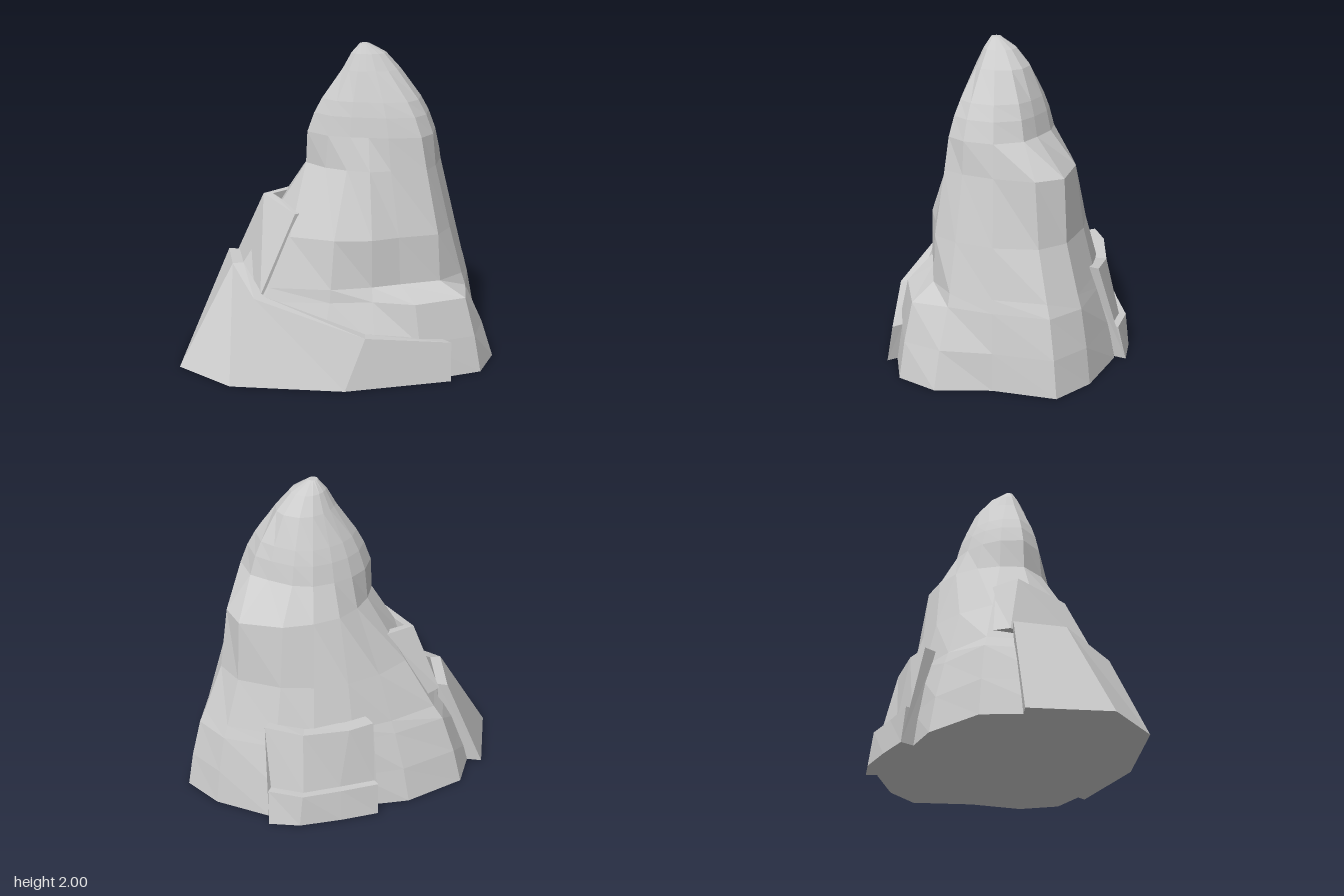
import * as THREE from 'three';

const material = new THREE.MeshStandardMaterial({ color: 0xcccccc, flatShading: true, side: THREE.DoubleSide });

// Lofts equal-length sections of [x, y, z] points; each section is a closed loop.
// The first and last sections are capped with a fan.
function loft(name, sections) {
  const out = [];
  const n = sections[0].length;
  const tri = (a, b, c) => out.push(...a, ...b, ...c);
  for (let i = 0; i < sections.length - 1; i++) {
    const s = sections[i], t = sections[i + 1];
    for (let j = 0; j < n; j++) {
      const k = (j + 1) % n;
      tri(s[j], t[j], s[k]);
      tri(s[k], t[j], t[k]);
    }
  }
  const first = sections[0], last = sections[sections.length - 1];
  for (let j = 1; j < n - 1; j++) {
    tri(first[0], first[j], first[j + 1]);
    tri(last[0], last[j + 1], last[j]);
  }
  const geometry = new THREE.BufferGeometry();
  geometry.setAttribute('position', new THREE.Float32BufferAttribute(out, 3));
  geometry.computeVertexNormals();
  const mesh = new THREE.Mesh(geometry, material);
  mesh.name = name;
  return mesh;
}

// Rib directions in degrees, from +x towards +z, around the line below the peak
const ribs = [0, 18, 45, 70, 100, 130, 160, 184, 206, 228, 250, 270, 295, 312, 336];

// Horizontal section of the rock, ordered for outward faces
function ring(y, radii) {
  return ribs.map((deg, i) => {
    const a = THREE.MathUtils.degToRad(deg);
    return [0.14 + radii[i] * Math.cos(a), y, 0.02 + radii[i] * Math.sin(a)];
  }).reverse();
}

function rockBody() {
  // Radius along each rib at the main levels
  const foot = [0.86, 0.86, 0.69, 0.66, 0.72, 0.95, 1.1, 1.06, 0.88, 0.74, 0.77, 0.83, 0.9, 0.95, 0.78];
  const shelf = [0.67, 0.74, 0.6, 0.47, 0.53, 0.78, 0.87, 0.91, 0.74, 0.67, 0.68, 0.71, 0.81, 0.84, 0.7];
  const waist = [0.56, 0.54, 0.41, 0.42, 0.46, 0.57, 0.62, 0.64, 0.59, 0.57, 0.57, 0.6, 0.67, 0.67, 0.6];
  const chest = [0.46, 0.45, 0.31, 0.29, 0.27, 0.3, 0.37, 0.37, 0.39, 0.43, 0.47, 0.54, 0.64, 0.61, 0.5];
  const neck = [0.44, 0.41, 0.28, 0.22, 0.22, 0.28, 0.36, 0.35, 0.34, 0.34, 0.36, 0.37, 0.39, 0.44, 0.46];
  const head = [0.21, 0.17, 0.13, 0.11, 0.11, 0.12, 0.14, 0.14, 0.15, 0.17, 0.2, 0.23, 0.25, 0.25, 0.23];
  const mix = (a, b, t) => a.map((r, i) => THREE.MathUtils.lerp(r, b[i], t));
  // Three ribs at the front left step in sharply above the shelf
  const aboveShelf = shelf.map((r, i) => THREE.MathUtils.lerp(r, waist[i], i > 0 && i < 4 ? 0.9 : 0.24));
  return loft('rockBody', [
    ring(0, foot),
    ring(0.23, mix(foot, shelf, 0.4)),
    ring(0.47, shelf),
    ring(0.55, aboveShelf),
    ring(0.85, waist),
    ring(1.25, chest),
    ring(1.45, neck),
    ring(1.57, mix(neck, head, 0.2)),
    ring(1.66, mix(neck, head, 0.42)),
    ring(1.84, head),
    ring(1.94, head.map((r) => r * 0.6)),
    ring(2, head.map(() => 0.03)),
  ]);
}

// Moves a point level towards the rock's axis
function inward([x, y, z], distance) {
  const k = 1 - distance / Math.hypot(x - 0.14, z);
  return [0.14 + (x - 0.14) * k, y, z * k];
}

// Slab lying on the rock: each column lists its outer points from the base up,
// and every point above the base gets a flat ledge running inward
function slab(name, ledge, columns) {
  return loft(name, columns.map(([base, ...steps]) => [
    base,
    ...steps.flatMap((p, i) => [p, inward(p, ledge * (i + 1))]),
    inward(base, 0.25),
  ]));
}

export function createModel() {
  const group = new THREE.Group();
  group.name = 'rockPeak';
  group.add(rockBody());

  // Thick layer wrapped around the foot, falling from the right side to the front left
  group.add(slab('frontLayer', 0.07, [
    [[-1, 0, 0.2], [-0.93, 0.23, 0.18], [-0.75, 0.62, 0.12]],
    [[-0.9, 0, 0.68], [-0.82, 0.22, 0.6], [-0.62, 0.63, 0.42]],
    [[-0.5, 0, 0.87], [-0.47, 0.22, 0.79], [-0.4, 0.5, 0.66]],
    [[0.2, 0, 0.77], [0.25, 0.16, 0.72], [0.3, 0.31, 0.66]],
    [[0.8, 0, 0.47], [0.8, 0.12, 0.45], [0.79, 0.24, 0.43]],
  ].map(([base, , top]) => [base, top])));

  // Flake standing on the high end of the front layer
  group.add(slab('sideFlake', 0.06, [
    [[-0.62, 0.62, -0.08], [-0.36, 1.03, -0.06]],
    [[-0.7, 0.6, 0.1], [-0.5, 1.02, 0.13]],
    [[-0.38, 0.5, 0.6], [-0.21, 0.98, 0.4]],
  ]));

  // Two-step slab at the back
  group.add(slab('backSlab', 0.045, [
    [[0.12, 0, -0.88], [0.14, 0.22, -0.83], [0.2, 0.62, -0.71]],
    [[-0.07, 0, -0.83], [-0.08, 0.21, -0.8], [-0.04, 0.59, -0.67]],
    [[-0.3, 0, -0.69], [-0.29, 0.21, -0.66], [-0.3, 0.61, -0.55]],
    [[-0.5, 0, -0.55], [-0.49, 0.22, -0.53], [-0.42, 0.62, -0.44]],
  ]));

  return group;
}
